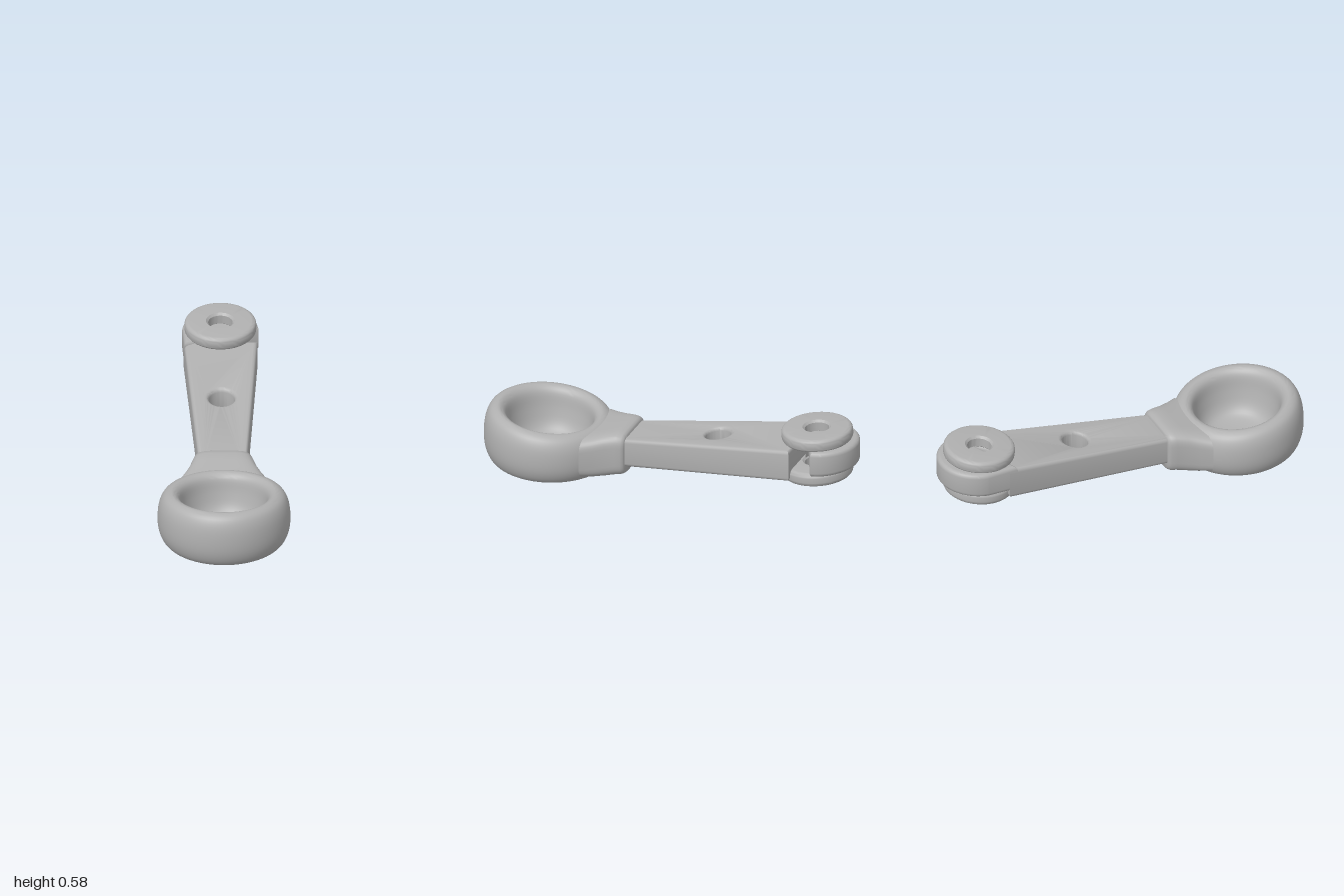
import * as THREE from 'three';
import { toCreasedNormals } from 'three/addons/utils/BufferGeometryUtils.js';

const grey = new THREE.MeshStandardMaterial({ color: 0xb0b0b0 });
grey.name = 'plain grey';

const V = (x, y) => new THREE.Vector2(x, y);

// Local frame: x runs along the arm, z across it.
const HUB = 1.147, HUB_R = 0.213, BORE = 1.12, BORE_R = 0.068;
const halfWidth = (u) => 0.137 + 0.066 * u;

function addPart(parent, name, geometry) {
  const mesh = new THREE.Mesh(geometry, grey);
  mesh.name = name;
  parent.add(mesh);
  return mesh;
}

function addHole(shape, u, r) {
  const path = new THREE.Path();
  path.absarc(u, 0, r, 0, Math.PI * 2, true);
  shape.holes.push(path);
}

// Bevelled plate whose bottom and top heights follow functions of u
function slopedPlate(shape, bevel, bottom, top) {
  const g = new THREE.ExtrudeGeometry(shape, {
    depth: 1, curveSegments: 32, bevelEnabled: true, bevelSegments: 4,
    bevelThickness: bevel, bevelSize: bevel, bevelOffset: -bevel,
  });
  g.rotateX(-Math.PI / 2);
  const p = g.attributes.position;
  for (let i = 0; i < p.count; i++) {
    const u = p.getX(i), h = p.getY(i), b = bottom(u), t = top(u);
    // keep the bevel height, stretch the straight wall between
    const y = h < 0.5 ? b + bevel + Math.min(h, 0) : t - bevel + Math.max(h - 1, 0);
    p.setY(i, y);
  }
  return toCreasedNormals(g, 0.7);
}

// Round washer with a bore and softened rims
function washer(height) {
  const h = height / 2, r = 0.2, c = 0.026, pts = [V(BORE_R, -h + 0.012), V(BORE_R + 0.012, -h)];
  for (let i = 0; i <= 5; i++) {
    const a = -Math.PI / 2 + (i / 5) * Math.PI / 2;
    pts.push(V(r - c + c * Math.cos(a), -h + c + c * Math.sin(a)));
  }
  for (let i = 0; i <= 5; i++) {
    const a = (i / 5) * Math.PI / 2;
    pts.push(V(r - c + c * Math.cos(a), h - c + c * Math.sin(a)));
  }
  pts.push(V(BORE_R + 0.012, h), V(BORE_R, h - 0.012), V(BORE_R, -h + 0.012));
  return toCreasedNormals(new THREE.LatheGeometry(pts, 56), 0.7);
}

// Loft of rounded rectangles along x; each row is [u, half width, bottom, top]
function loft(rows, n = 48) {
  const pos = [], idx = [];
  const soft = (v) => Math.sign(v) * Math.pow(Math.abs(v), 0.42);
  for (const [u, w, y0, y1] of rows) {
    for (let j = 0; j < n; j++) {
      const a = (j / n) * Math.PI * 2;
      pos.push(u, (y0 + y1) / 2 + soft(Math.sin(a)) * (y1 - y0) / 2, soft(Math.cos(a)) * w);
    }
  }
  for (let i = 0; i < rows.length - 1; i++) {
    for (let j = 0; j < n; j++) {
      const a = i * n + j, b = i * n + (j + 1) % n;
      idx.push(a, a + n, b, b, a + n, b + n);
    }
  }
  const g = new THREE.BufferGeometry();
  g.setAttribute('position', new THREE.Float32BufferAttribute(pos, 3));
  g.setIndex(idx);
  return toCreasedNormals(g, 0.8);
}

// Thick-walled cup, its rim rising away from the arm
function cup() {
  const profile = new THREE.SplineCurve([
    V(0, 0.003), V(0.15, 0.028), V(0.29, 0.055), V(0.335, 0.075), V(0.362, 0.13),
    V(0.37, 0.2), V(0.362, 0.28), V(0.338, 0.335), V(0.3, 0.358), V(0.27, 0.352),
    V(0.246, 0.32), V(0.23, 0.24), V(0.205, 0.16), V(0.165, 0.115), V(0.09, 0.097), V(0, 0.094),
  ]).getPoints(60);
  profile.forEach((q) => { q.x = Math.max(q.x, 0); });
  const g = new THREE.LatheGeometry(profile, 72);
  const p = g.attributes.position;
  for (let i = 0; i < p.count; i++) {
    const y = p.getY(i);
    p.setY(i, y - 0.09 * p.getX(i) * (y / 0.36));
  }
  return toCreasedNormals(g, 0.8);
}

export function createModel() {
  const model = new THREE.Group();
  model.name = 'crankArm';
  const frame = new THREE.Group();
  frame.name = 'armAssembly';
  frame.position.set(-0.08, 0, 0.21);
  frame.rotation.y = 1.06;
  model.add(frame);

  // Tapered, rising arm with a hole at its middle
  const a = -0.1, b = 1.03;
  const armShape = new THREE.Shape([
    V(a, -halfWidth(a)), V(b, -halfWidth(b)), V(b, halfWidth(b)), V(a, halfWidth(a)),
  ]);
  addHole(armShape, 0.524, 0.072);
  addPart(frame, 'arm', slopedPlate(armShape, 0.022,
    (u) => 0.155 + 0.137 * u, (u) => 0.324 + 0.157 * u));

  // Rounded end of the arm
  const hubShape = new THREE.Shape();
  hubShape.moveTo(0.98, -halfWidth(0.98));
  hubShape.absarc(HUB, 0, HUB_R, -Math.PI / 2 + 0.066, Math.PI / 2 - 0.066, false);
  hubShape.lineTo(0.98, halfWidth(0.98));
  hubShape.closePath();
  addHole(hubShape, BORE, BORE_R - 0.002);
  addPart(frame, 'armEnd', slopedPlate(hubShape, 0.025,
    (u) => 0.343 + 0.08 * (u - 1.05), (u) => 0.498 + 0.04 * (u - 1)));

  // Washers above and below the arm end
  for (const [name, y, h] of [['topWasher', 0.529, 0.075], ['bottomWasher', 0.318, 0.08]]) {
    const w = addPart(frame, name, washer(h));
    w.position.set(BORE, y, 0);
    w.rotation.z = 0.07;
  }

  // Cup
  addPart(frame, 'cup', cup()).position.x = -0.484;

  // Neck flaring from the arm socket into the cup
  addPart(frame, 'neck', loft([
    [-0.21, 0.255, 0.078, 0.322], [-0.15, 0.222, 0.076, 0.332], [-0.09, 0.192, 0.082, 0.346],
    [-0.03, 0.174, 0.095, 0.356], [0, 0.166, 0.1, 0.354], [0.013, 0.158, 0.107, 0.347],
    [0.018, 0.148, 0.115, 0.338], [0.018, 0, 0.23, 0.23],
  ]));

  return model;
}
